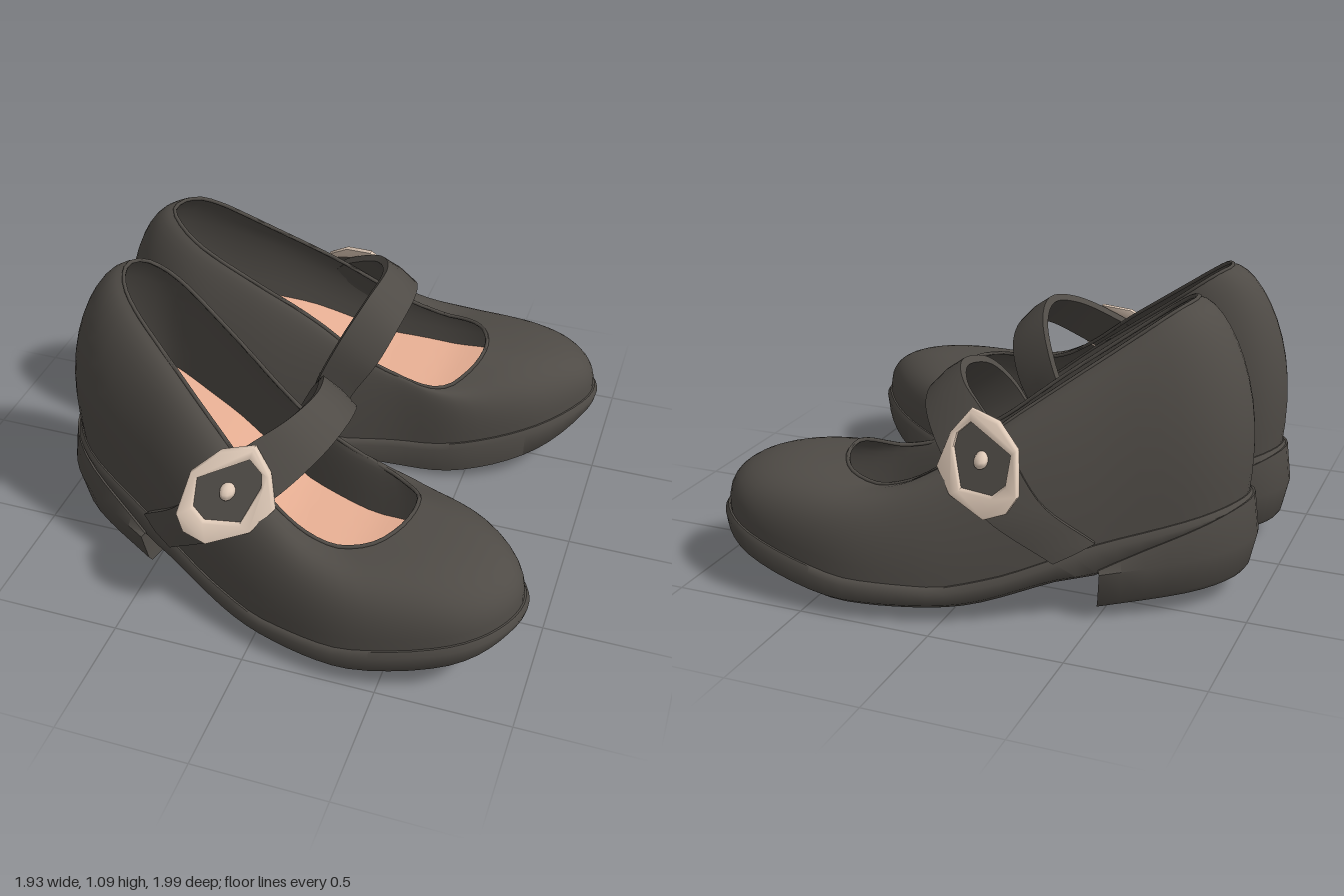
import * as THREE from 'three';
import { toCreasedNormals } from 'three/addons/utils/BufferGeometryUtils.js';

const leather = new THREE.MeshStandardMaterial({ color: 0x4f4b46 });
leather.name = 'darkLeather';
const lining = new THREE.MeshStandardMaterial({ color: 0xe2ab90 });
lining.name = 'peachInsole';
const metal = new THREE.MeshStandardMaterial({ color: 0xdfcab8 });
metal.name = 'paleMetal';

const N = 80;
const V = (x, y, z) => new THREE.Vector3(x, y, z);
const { smoothstep, clamp } = THREE.MathUtils;
const curve = (pts, closed) => new THREE.CatmullRomCurve3(pts.map((p) => V(...p)), closed, 'catmullrom', 0.5);

// Height as a function of x: straight pieces with softened joints
function heights(table) {
  const at = (x) => {
    const i = table.findIndex((p) => x <= p[0]);
    if (i <= 0) return table[i === 0 ? 0 : table.length - 1][1];
    const [x0, y0] = table[i - 1], [x1, y1] = table[i];
    return y0 + (y1 - y0) * (x - x0) / (x1 - x0);
  };
  return (x) => (at(x - 0.04) + 2 * at(x) + at(x + 0.04)) / 4;
}
const weltY = heights([[-0.95, 0.4], [-0.5, 0.29], [-0.2, 0.18], [0, 0.135], [0.35, 0.15], [0.6, 0.2], [0.95, 0.28]]);
const insoleY = heights([[-0.9, 0.58], [-0.65, 0.56], [-0.3, 0.42], [0, 0.25], [0.3, 0.19], [0.6, 0.21], [0.9, 0.29]]);
const soleLine = heights([[-0.96, 0.36], [-0.6, 0.21], [-0.5, 0.155], [-0.36, 0.14], [-0.1, 0.055], [0, 0.032],
  [0.15, 0.008], [0.24, -0.001], [0.36, -0.001], [0.45, 0.01], [0.6, 0.04], [0.75, 0.08], [0.85, 0.12], [0.96, 0.19]]);
const rimLine = heights([[-0.72, 1.09], [-0.68, 1.075], [-0.17, 0.7], [0, 0.56], [0.15, 0.465], [0.28, 0.43], [0.42, 0.45], [0.5, 0.475]]);
// The forefoot tilts up to its outer side, and the throat dips on its inner side
const soleY = (x, z) => soleLine(x) + 0.05 * smoothstep(x, -0.2, 0.3) * clamp((z - 0.3) / 0.7, 0, 1);
const rimY = (x, z) => rimLine(x) - 0.05 * smoothstep(x, 0.2, 0.42) * (1 - smoothstep(z, 0.3, 0.52));
const heelY = (x) => 0.09 - 0.107 * (x + 0.94);

// Sole outline and collar opening, from heel back along the inner side to the toe and home
const outlineCurve = curve([[-0.945, 0, 0.28], [-0.87, 0, 0.1], [-0.66, 0, 0.015], [-0.4, 0, 0.06],
  [-0.1, 0, 0.14], [0.2, 0, 0.21], [0.5, 0, 0.245], [0.78, 0, 0.38], [0.95, 0, 0.6], [0.925, 0, 0.79],
  [0.75, 0, 0.935], [0.4, 0, 0.995], [0.1, 0, 0.945], [-0.2, 0, 0.83], [-0.5, 0, 0.68], [-0.82, 0, 0.49]], true);
const rimCurve = curve([[-0.708, 0, 0.25], [-0.675, 0, 0.16], [-0.56, 0, 0.12], [-0.36, 0, 0.16],
  [-0.1, 0, 0.23], [0.15, 0, 0.255], [0.36, 0, 0.29], [0.47, 0, 0.4], [0.505, 0, 0.51], [0.48, 0, 0.64],
  [0.4, 0, 0.74], [0.25, 0, 0.775], [0.05, 0, 0.74], [-0.15, 0, 0.655], [-0.4, 0, 0.525], [-0.63, 0, 0.39]], true);

// Point on the outline, moved inward by d, at height yOf(x, z) + dy
function edgePoint(t, d, yOf, dy = 0) {
  const u = ((t % 1) + 1) % 1;
  const p = outlineCurve.getPoint(u), g = outlineCurve.getTangent(u);
  const x = p.x - g.z * d, z = p.z + g.x * d;
  return V(x, yOf(x, z) + dy, z);
}
const loop = (f) => Array.from({ length: N }, (_, i) => f(i / N));
const edgeRing = (d, yOf, dy) => loop((t) => edgePoint(t, d, yOf, dy));
const rimRing = loop((t) => { const p = rimCurve.getPoint(t); p.y = rimY(p.x, p.z); return p; });

// Narrow a ring toward the shoe's centre line
const narrow = (ring, s, yOf) => ring.map((p, i) => {
  const q = p.clone().lerp(ring[(N - i) % N], (1 - s) / 2);
  q.y = yOf(q.x, q.z);
  return q;
});

// Rounded wall from a base ring up to the collar, fuller at the heel and toe
function wall(base, steps) {
  return Array.from({ length: steps + 1 }, (_, j) => base.map((b, i) => {
    const r = rimRing[i], a = (j / steps) * Math.PI / 2;
    const p = 1 - 0.31 * smoothstep(b.x, -0.1, 0.5);
    const v = Math.pow(Math.sin(a), p);
    const h = 1 - Math.pow(Math.max(0, Math.cos(a)), p) - 0.12 * Math.sin(Math.PI * v) * smoothstep(-b.x, 0.5, 0.9);
    return V(b.x + (r.x - b.x) * h, b.y + (r.y - b.y) * v, b.z + (r.z - b.z) * h);
  }));
}

// Skin a stack of closed rings
function loft(rings) {
  const n = rings[0].length, index = [];
  for (let j = 0; j < rings.length - 1; j++) for (let i = 0; i < n; i++) {
    const k = (i + 1) % n, a = j * n + i, b = j * n + k, c = b + n, d = a + n;
    index.push(a, d, b, b, d, c);
  }
  const g = new THREE.BufferGeometry().setFromPoints(rings.flat());
  g.setIndex(index);
  return g;
}

// Mirror a geometry across z = 0, keeping faces outward
function mirrorZ(geo) {
  const g = geo.clone().scale(1, 1, -1), a = g.attributes.position;
  for (let i = 0; i < a.count; i += 3) {
    const p = V().fromBufferAttribute(a, i + 1), q = V().fromBufferAttribute(a, i + 2);
    a.setXYZ(i + 1, q.x, q.y, q.z);
    a.setXYZ(i + 2, p.x, p.y, p.z);
  }
  return g;
}

// Strap as a band between two edge curves
function strapGeometry() {
  const back = curve([[-0.5, 0.3, 0.69], [-0.33, 0.44, 0.755], [-0.2, 0.62, 0.745], [-0.08, 0.72, 0.675], [0.04, 0.795, 0.58],
    [0.1, 0.825, 0.44], [0.07, 0.78, 0.27], [0, 0.65, 0.165], [-0.08, 0.47, 0.13], [-0.13, 0.32, 0.13]]);
  const front = curve([[-0.37, 0.23, 0.76], [-0.16, 0.38, 0.825], [-0.04, 0.5, 0.805], [0.08, 0.6, 0.725], [0.18, 0.69, 0.6],
    [0.22, 0.72, 0.44], [0.2, 0.67, 0.27], [0.14, 0.54, 0.185], [0.05, 0.39, 0.165], [0, 0.27, 0.155]]);
  const rings = [];
  for (let i = 0; i <= 48; i++) {
    const t = i / 48, a = back.getPoint(t), b = front.getPoint(t);
    const n = back.getTangent(t).add(front.getTangent(t)).cross(a.clone().sub(b)).normalize();
    const mid = a.clone().lerp(b, 0.5).addScaledVector(n, 0.008);
    rings.push([b, mid, a, a.clone().addScaledVector(n, -0.03), b.clone().addScaledVector(n, -0.03)]);
  }
  const plug = (r) => r.map(() => r[0].clone().lerp(r[3], 0.5));
  return loft([plug(rings[0]), ...rings, plug(rings[48])]);
}

// Lean a flat piece so it lies on the outer side of the shoe
function lean(geo, lift) {
  const a = geo.attributes.position;
  for (let i = 0; i < a.count; i++) {
    const x = a.getX(i), y = a.getY(i);
    a.setZ(i, a.getZ(i) + lift + 0.768 - 0.52 * (y - 0.58) - 0.2 * (x + 0.12));
  }
  return geo;
}
const outlineOf = (pts) => pts.map((p) => new THREE.Vector2(...p));

export function createModel() {
  const model = new THREE.Group();
  const shoes = ['leftShoe', 'rightShoe'].map((name) => {
    const g = new THREE.Group();
    g.name = name;
    model.add(g);
    return g;
  });
  const add = (name, geo, material, crease = 0.7) => {
    const plain = geo.index ? geo.toNonIndexed() : geo;
    plain.deleteAttribute('uv');
    plain.deleteAttribute('normal');
    [plain, mirrorZ(plain)].forEach((g, i) => {
      const mesh = new THREE.Mesh(toCreasedNormals(g, crease), material);
      mesh.name = name;
      shoes[i].add(mesh);
    });
  };

  // Sole with projecting welt
  const bottom = edgeRing(0.04, soleY);
  add('sole', loft([narrow(bottom, 0, soleY), narrow(bottom, 0.5, soleY), bottom, edgeRing(0.005, soleY, 0.022),
    edgeRing(0, weltY, -0.025), edgeRing(0.012, weltY, -0.003), edgeRing(0.05, weltY, 0.004)]), leather, 0.9);

  // Heel block: the back of the outline closed by a straight front face
  const heelRing = (d, yOf, dy) => Array.from({ length: 25 }, (_, i) =>
    edgePoint((-1.98 + (5.05 * i) / 24) / 16, d, yOf, dy));
  const heelBase = heelRing(0.02, heelY);
  const heelMid = V(-0.64, heelY(-0.64), 0.32);
  add('heel', loft([heelBase.map(() => heelMid), heelBase, heelRing(0.005, heelY, 0.02),
    heelRing(-0.022, heelY, 0.14), heelRing(-0.004, soleY, 0.03), heelRing(0.06, soleY, 0.03)]), leather);

  // Upper: outer wall, over the collar and down the inside
  const foot = edgeRing(0.07, insoleY);
  add('upper', loft([...wall(edgeRing(0.018, weltY, -0.02), 12), ...wall(foot, 8).reverse().slice(1)]), leather, 1.0);
  add('collarBinding', new THREE.TubeGeometry(new THREE.CatmullRomCurve3(
    rimRing.filter((_, i) => i % 2 === 0), true), 80, 0.008, 6, true), leather, 1.2);

  // Insole
  add('insole', loft([foot, ...[0.75, 0.5, 0.25, 0].map((s) => narrow(foot, s, insoleY))]), lining, 1.0);

  // Strap across the instep
  add('strap', strapGeometry(), leather);

  // Buckle frame, backing plate and stud
  const frame = new THREE.Shape(outlineOf([[-0.275, 0.51], [-0.245, 0.64], [-0.155, 0.71], [-0.045, 0.73],
    [0.018, 0.65], [0.048, 0.545], [-0.02, 0.472], [-0.165, 0.425], [-0.245, 0.458]]));
  const hole = outlineOf([[-0.235, 0.53], [-0.185, 0.485], [-0.05, 0.485], [0.008, 0.61], [0.002, 0.66], [-0.05, 0.707], [-0.235, 0.632]]);
  frame.holes.push(new THREE.Path(hole));
  add('buckleFrame', lean(new THREE.ExtrudeGeometry(frame, {
    depth: 0.01, bevelEnabled: true, bevelThickness: 0.01, bevelSize: 0.008, bevelSegments: 2 }), 0.014), metal, 0.9);
  add('bucklePlate', lean(new THREE.ExtrudeGeometry(new THREE.Shape(hole), { depth: 0.009, bevelEnabled: false }), 0.012), leather);
  add('buckleStud', lean(new THREE.SphereGeometry(0.028, 10, 8).translate(-0.115, 0.59, 0), 0.022), metal, 1.2);

  return model;
}
